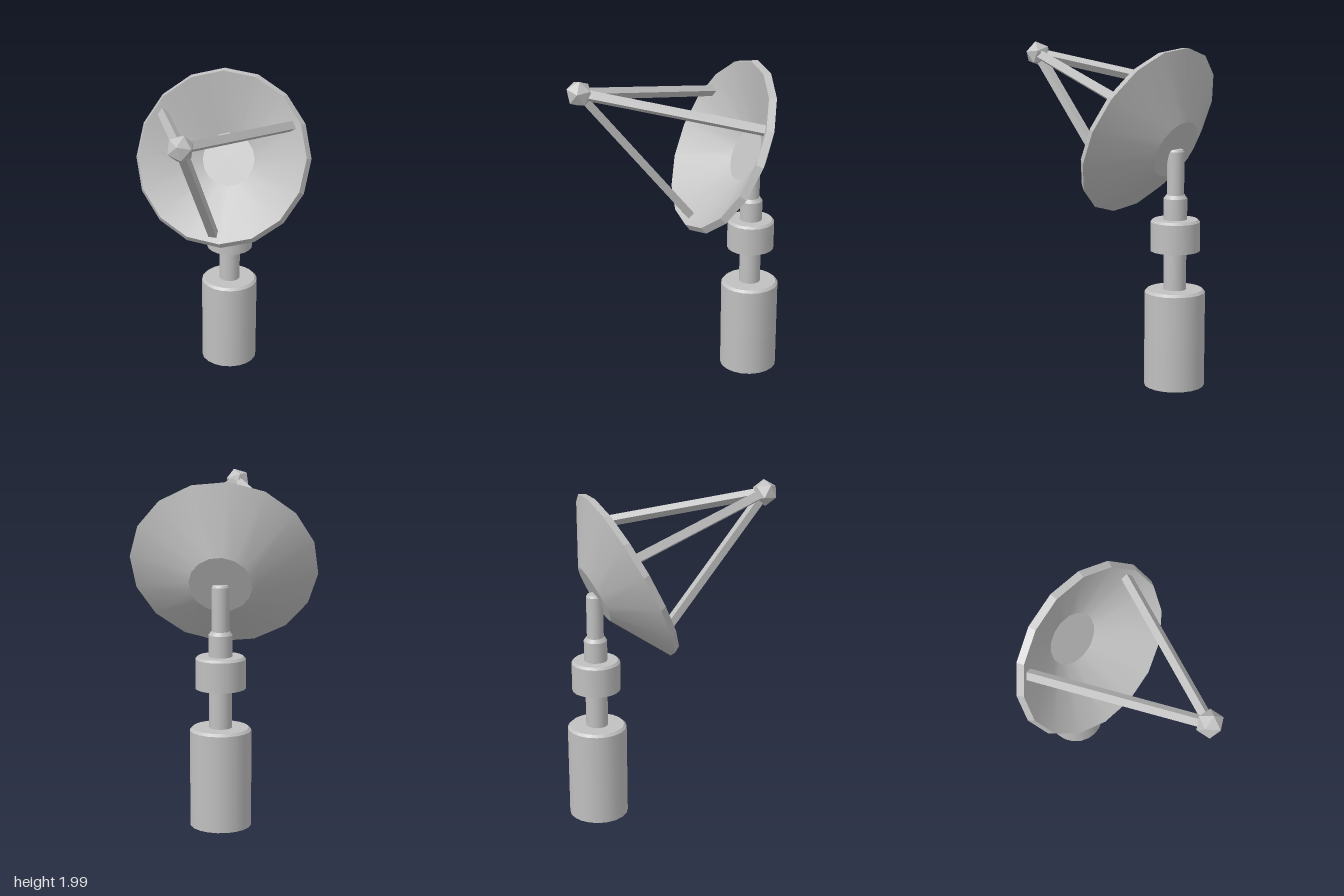
import * as THREE from 'three';

const grey = new THREE.MeshStandardMaterial({ color: 0xc0c0c0 });
grey.name = 'grey metal';

function add(parent, geometry, name) {
  const mesh = new THREE.Mesh(geometry, grey);
  mesh.name = name;
  parent.add(mesh);
  return mesh;
}

// Revolves each profile segment on its own: smooth around, sharp between segments.
function turned(parent, name, profile, sides, phase = 0, flatSegment = -1) {
  const group = new THREE.Group();
  group.name = name;
  for (let i = 0; i < profile.length - 1; i++) {
    const points = [profile[i], profile[i + 1]].map(([r, y]) => new THREE.Vector2(r, y));
    let geometry = new THREE.LatheGeometry(points, sides, phase);
    if (i === flatSegment) {
      geometry = geometry.toNonIndexed();
      geometry.computeVertexNormals();
    }
    add(group, geometry, name + 'Face');
  }
  parent.add(group);
  return group;
}

export function createModel() {
  const model = new THREE.Group();
  model.name = 'dishAntenna';

  // Upright support: base drum, column, collar and top pin
  const tower = new THREE.Group();
  tower.name = 'tower';
  tower.position.z = -0.488;
  model.add(tower);
  turned(tower, 'base', [[0, 0], [0.178, 0], [0.178, 0.565], [0.163, 0.58], [0, 0.58]], 20);
  turned(tower, 'column', [[0.066, 0.58], [0.066, 0.81]], 20);
  turned(tower, 'collar', [[0, 0.81], [0.145, 0.81], [0.145, 0.982], [0.132, 0.996], [0, 0.996]], 20);
  turned(tower, 'neck', [[0.069, 0.996], [0.069, 1.12], [0.054, 1.14], [0, 1.14]], 20);
  turned(tower, 'pin', [[0.05, 1.14], [0.05, 1.392], [0.042, 1.405], [0, 1.405]], 20);

  // Tilted head; its local y is the dish axis
  const head = new THREE.Group();
  head.name = 'head';
  head.position.set(0, 1.405, -0.488);
  head.rotation.x = 1.127;
  model.add(head);

  // Dish shell: back plate, outer cone, rim, inner cone, inner plate
  turned(head, 'dish',
    [[0, 0], [0.182, 0], [0.547, 0.21], [0.525, 0.25], [0.165, 0.05], [0, 0.05]],
    16, 0.093, 2);

  // Three struts meeting at the feed
  const feedHeight = 1.19;
  const start = new THREE.Vector3(0, 0.225, 0.465);
  const end = new THREE.Vector3(0, feedHeight, 0);
  for (let i = 0; i < 3; i++) {
    const arm = new THREE.Group();
    arm.name = 'strutArm';
    arm.rotation.y = (i * Math.PI * 2) / 3;
    const strut = add(arm, new THREE.BoxGeometry(0.05, start.distanceTo(end), 0.046), 'strut');
    strut.position.copy(start).lerp(end, 0.5);
    strut.rotation.x = Math.atan2(end.z - start.z, end.y - start.y);
    head.add(arm);
  }

  // Faceted feed
  const feed = add(head, new THREE.IcosahedronGeometry(0.08, 0), 'feed');
  feed.position.y = feedHeight;
  feed.rotation.z = -0.5536;

  return model;
}
